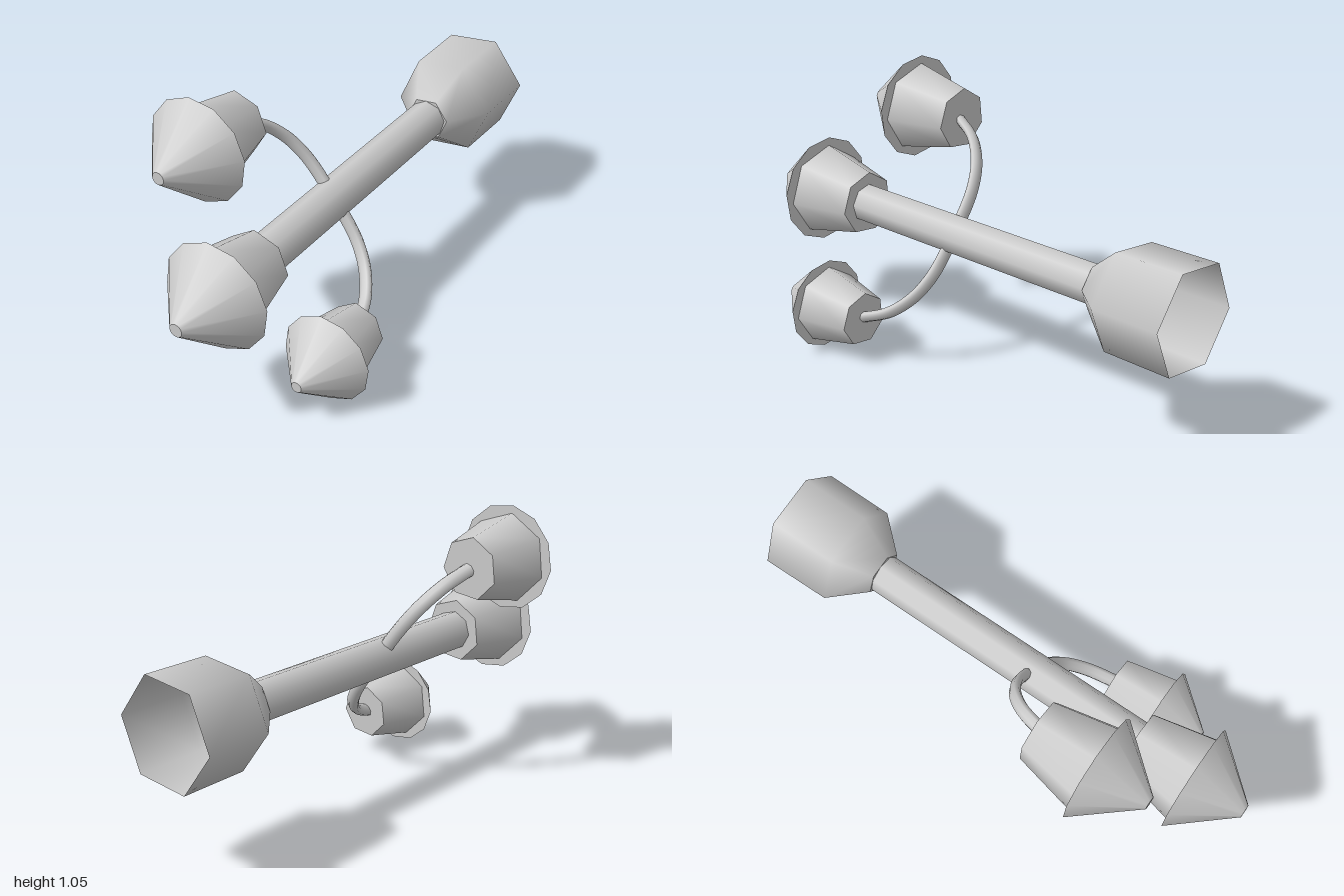
import * as THREE from 'three';

const CX = 0.015, CY = 0.507;            // main axis of the piece, running along z
const TURN = THREE.MathUtils.degToRad(6.8);

const material = new THREE.MeshStandardMaterial({ color: 0xcccccc });
const shell = new THREE.MeshStandardMaterial({ color: 0xcccccc, side: THREE.DoubleSide });

function add(parent, name, geometry, mat = material) {
  const mesh = new THREE.Mesh(geometry, mat);
  mesh.name = name;
  parent.add(mesh);
  return mesh;
}

// Faceted frustum along z, from z0 (radius r0) to z1 (radius r1); turn = angle of a corner from +x
function frustum(r0, z0, r1, z1, sides, turn = TURN) {
  return new THREE.CylinderGeometry(r1, r0, z1 - z0, sides, 1, false, turn + Math.PI / 2)
    .rotateX(Math.PI / 2)
    .translate(0, 0, (z0 + z1) / 2);
}

// Tapered cup with a wider twelve-sided cone in front
function makeHead(name, x, y, z, radial, length) {
  const head = new THREE.Group();
  head.name = name;
  add(head, 'cup', frustum(0.123, 0, 0.177, 0.24, 7, TURN + Math.PI / 2));
  add(head, 'cone', frustum(0.209, 0.24, 0.025, 0.455, 12));
  head.position.set(x, y, z);
  head.scale.set(radial, radial, length);
  return head;
}

// Flattened curved arm leaving the rod sideways and bending forward into a head
function makeArm(name, x, y, zEnd) {
  const reach = Math.hypot(x - CX, y - CY);
  const z0 = 0.08;
  const steps = [[0.08, 0], [0.25, 0], [0.44, 0.05], [0.66, 0.22], [0.86, 0.56], [0.98, 1], [1, 1.08]];
  const path = new THREE.CatmullRomCurve3(
    steps.map(([u, w]) => new THREE.Vector3(u * reach, 0, z0 + w * (zEnd - z0))));
  const group = new THREE.Group();
  group.position.set(CX, CY, 0);
  group.rotation.z = Math.atan2(y - CY, x - CX);
  group.name = name;
  add(group, 'tube', new THREE.TubeGeometry(path, 24, 0.019, 8).scale(1, 1.45, 1));
  return group;
}

export function createModel() {
  const model = new THREE.Group();
  model.name = 'threeHeadedRod';

  // Rod and rear socket share the main axis
  const core = new THREE.Group();
  core.name = 'core';
  core.position.set(CX, CY, 0);
  model.add(core);
  add(core, 'rod', frustum(0.076, -0.62, 0.076, 0.56, 8));

  // Hexagonal socket, open at the back
  const profile = [[0.205, -1], [0.202, -0.73], [0.087, -0.6]].map(p => new THREE.Vector2(...p));
  add(core, 'socket',
    new THREE.LatheGeometry(profile, 6, TURN + Math.PI / 2).rotateX(Math.PI / 2), shell);
  add(core, 'socketNeck', frustum(0.087, -0.602, 0.087, -0.6, 6), shell);

  // Centre head on the rod's end, two smaller heads on arms
  const heads = [
    ['centre', CX, CY, 0.545, 1, 1],
    ['upperRight', -0.245, 0.848, 0.283, 0.96, 0.985],
    ['lowerLeft', 0.27, 0.173, 0.307, 0.83, 0.865],
  ];
  for (const [name, x, y, z, radial, length] of heads) {
    model.add(makeHead(name + 'Head', x, y, z, radial, length));
    if (name !== 'centre') model.add(makeArm(name + 'Arm', x, y, z));
  }
  return model;
}
